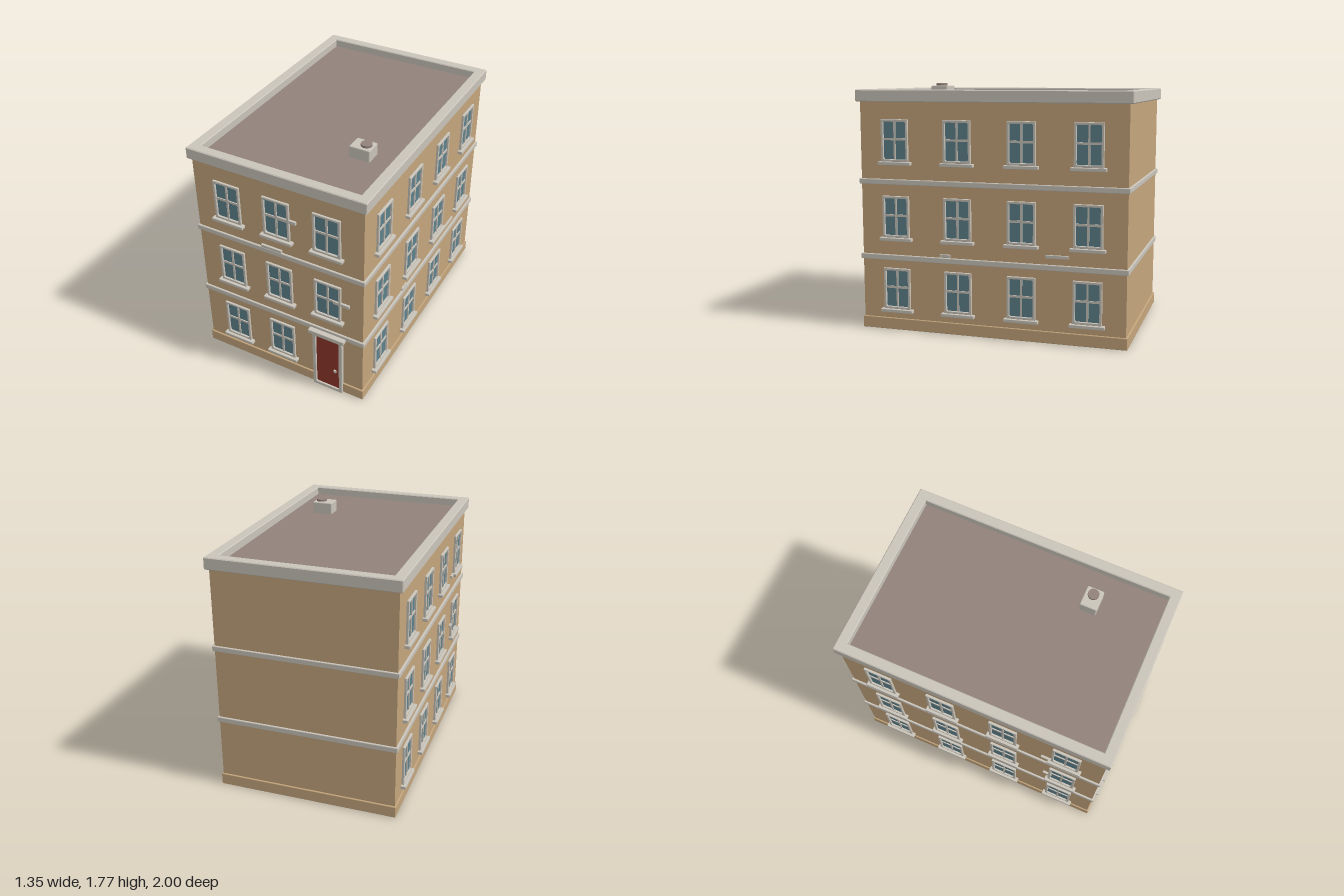
import * as THREE from 'three';
import { RoundedBoxGeometry } from 'three/addons/geometries/RoundedBoxGeometry.js';

const mat = (name, color) => {
  const m = new THREE.MeshStandardMaterial({ color });
  m.name = name;
  return m;
};

export function createModel() {
  const wall = mat('sandstone wall', 0xc4a57c);
  const trim = mat('pale stone trim', 0xc9c4ba);
  const glass = mat('blue glass', 0x5d818c);
  const roofing = mat('brown roofing', 0x91827a);
  const paint = mat('red door paint', 0x8d372c);

  const model = new THREE.Group();
  model.name = 'townhouse';
  const CZ = -0.012; // centre of the block in depth

  const add = (parent, name, geo, material) => {
    const m = new THREE.Mesh(geo, material);
    m.name = name;
    parent.add(m);
    return m;
  };
  // box given by its low and high corners, with an optional small bevel
  const box = (parent, name, material, [x0, y0, z0], [x1, y1, z1], bevel = 0) => {
    const size = [x1 - x0, y1 - y0, z1 - z0];
    const geo = bevel ? new RoundedBoxGeometry(...size, 1, bevel) : new THREE.BoxGeometry(...size);
    geo.translate((x0 + x1) / 2, (y0 + y1) / 2, (z0 + z1) / 2);
    return add(parent, name, geo, material);
  };
  // slab around the whole block, by half width and half depth
  const slab = (name, material, hx, hz, y0, y1, bevel) =>
    box(model, name, material, [-hx, y0, CZ - hz], [hx, y1, CZ + hz], bevel);

  // rectangle outline with cut corners
  const outline = (Type, x0, y0, x1, y1, c) => {
    const p = [[x0 + c, y0], [x1 - c, y0], [x1, y0 + c], [x1, y1 - c],
      [x1 - c, y1], [x0 + c, y1], [x0, y1 - c], [x0, y0 + c]];
    return new Type(p.map(([x, y]) => new THREE.Vector2(x, y)));
  };
  // flat ring with a bevelled rim
  const ring = (w, h, border, depth, cut, bevel) => {
    const o = w / 2 - bevel, p = h / 2 - bevel;
    const i = w / 2 - border + bevel, j = h / 2 - border + bevel;
    const s = outline(THREE.Shape, -o, -p, o, p, 0.0005);
    s.holes.push(outline(THREE.Path, -i, -j, i, j, cut));
    return new THREE.ExtrudeGeometry(s, {
      depth: depth - 2 * bevel, bevelEnabled: true,
      bevelSize: bevel, bevelThickness: bevel, bevelSegments: 1,
    }).translate(0, 0, bevel);
  };

  // main block, plinth, string courses
  slab('walls', wall, 0.64, 0.962, 0.02, 1.66);
  slab('plinth', wall, 0.65, 0.974, 0, 0.085, 0.006);
  slab('lowerBand', trim, 0.654, 0.976, 0.512, 0.552, 0.006);
  slab('upperBand', trim, 0.654, 0.976, 1.058, 1.097, 0.006);

  // roof deck and parapet
  slab('roofDeck', roofing, 0.62, 0.94, 1.65, 1.67);
  const parapet = add(model, 'parapet', ring(1.33, 1.976, 0.075, 0.085, 0.0005, 0.006), trim);
  parapet.rotation.x = -Math.PI / 2;
  parapet.position.set(0, 1.643, CZ);

  // roof vent
  const vent = new THREE.Group();
  vent.name = 'roofVent';
  vent.position.set(0.357, 1.67, 0.43);
  model.add(vent);
  box(vent, 'ventBox', trim, [-0.076, -0.01, -0.061], [0.076, 0.085, 0.061], 0.008);
  const cap = add(vent, 'ventCap', new THREE.CylinderGeometry(0.039, 0.039, 0.02, 20), roofing);
  cap.position.set(0.024, 0.09, 0);

  // window: local z points out of the wall, origin at the frame's bottom centre
  const frameGeo = ring(0.204, 0.3, 0.018, 0.018, 0.009, 0.003).translate(0, 0.15, 0);
  const addWindow = (facade, x, y) => {
    const g = new THREE.Group();
    g.name = 'window';
    g.position.set(x, y, 0);
    facade.add(g);
    add(g, 'windowFrame', frameGeo, trim);
    box(g, 'windowPane', glass, [-0.092, 0.01, 0], [0.092, 0.29, 0.004]);
    box(g, 'mullion', trim, [-0.007, 0.01, 0], [0.007, 0.29, 0.011]);
    box(g, 'transom', trim, [-0.092, 0.152, 0], [0.092, 0.168, 0.011]);
    box(g, 'sill', trim, [-0.123, -0.023, -0.005], [0.123, 0.001, 0.037], 0.004);
  };

  // three facades with windows; the back stays blank
  const rows = [0.155, 0.678, 1.222];
  const addFacade = (name, columns, angle, x, z) => {
    const f = new THREE.Group();
    f.name = name;
    f.rotation.y = angle;
    f.position.set(x, 0, z);
    model.add(f);
    rows.forEach((y, r) => columns.forEach((c, i) => {
      const isDoorBay = name === 'frontFacade' && r === 0 && i === 2;
      if (!isDoorBay) addWindow(f, c, y);
    }));
    return f;
  };
  const sideColumns = [-0.697, -0.232, 0.232, 0.697];
  const front = addFacade('frontFacade', [-0.38, 0, 0.376], 0, 0, 0.95);
  const left = addFacade('leftFacade', sideColumns, Math.PI / 2, 0.64, CZ);
  const right = addFacade('rightFacade', sideColumns, -Math.PI / 2, -0.64, CZ);

  // front door with surround and hood
  const door = new THREE.Group();
  door.name = 'frontDoor';
  door.position.set(0.375, 0, 0);
  front.add(door);
  add(door, 'doorFrame', ring(0.234, 0.5, 0.026, 0.03, 0.008, 0.003).translate(0, 0.25, 0), trim);
  box(door, 'doorPanel', paint, [-0.1, 0.015, 0], [0.1, 0.485, 0.017]);
  box(door, 'doorHandle', trim, [0.049, 0.18, 0.015], [0.069, 0.2, 0.028]);
  box(door, 'doorHood', trim, [-0.14, 0.502, 0], [0.14, 0.532, 0.05], 0.005);

  // small ledges and brackets on the walls
  const ledge = (f, x0, x1, y0, y1, out) =>
    box(f, 'wallLedge', trim, [x0, y0, -0.005], [x1, y1, out], 0.003);
  ledge(front, 0.01, 0.15, 1.372, 1.398, 0.016);
  ledge(front, 0.42, 0.54, 0.82, 0.845, 0.016);
  ledge(front, -0.13, 0.03, 1.098, 1.12, 0.016);
  ledge(left, -0.367, -0.287, 0.555, 0.577, 0.012);
  ledge(left, 0.403, 0.563, 0.597, 0.62, 0.012);
  ledge(right, 0.55, 0.62, 0.775, 0.795, 0.016);
  ledge(right, 0.52, 0.6, 1.205, 1.225, 0.016);
  return model;
}
